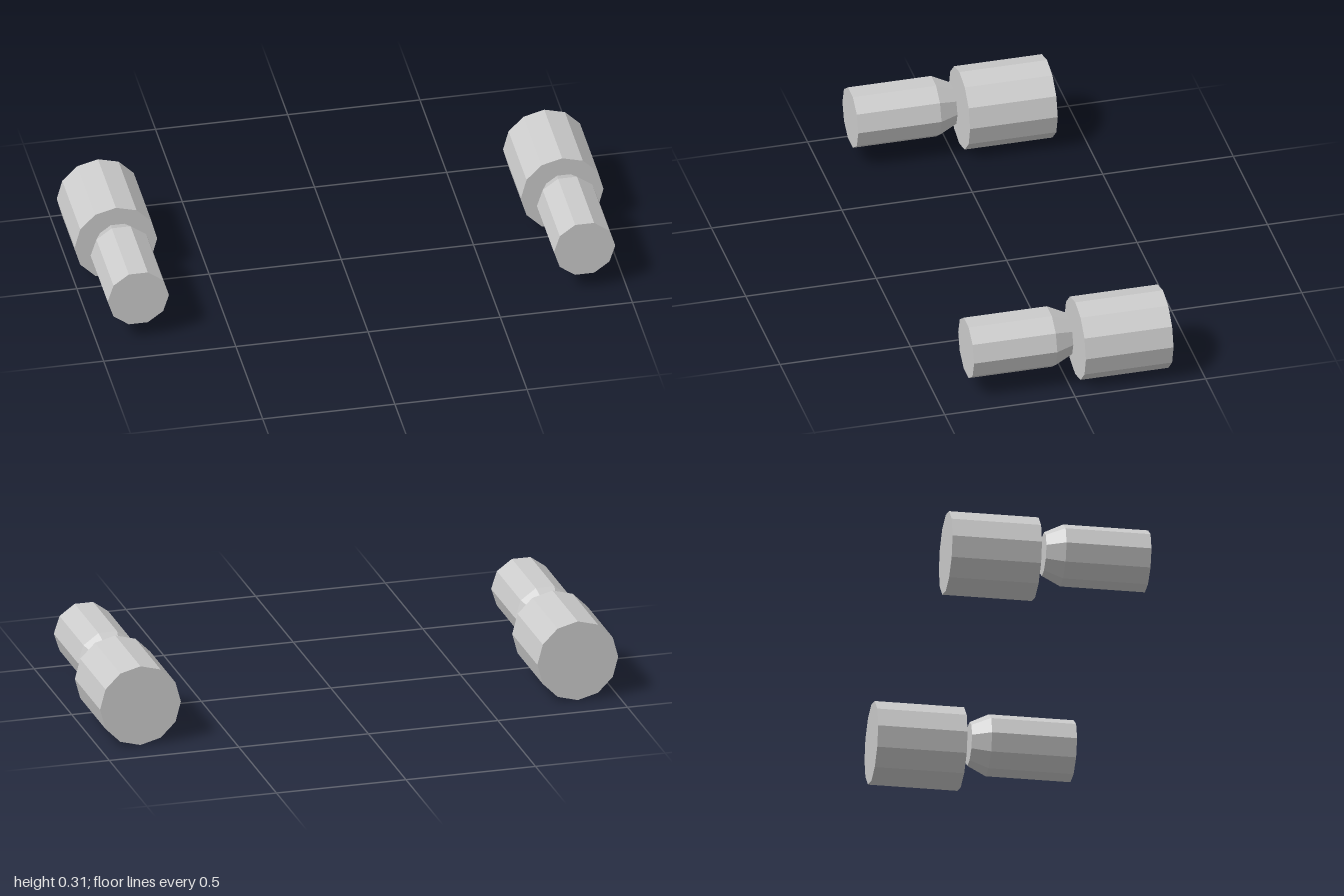
import * as THREE from 'three';

const material = new THREE.MeshStandardMaterial({ color: 0xcccccc, flatShading: true });

// Faceted cylinder along z, from zBack to zFront, with a corner on the x axis
function barrel(name, rFront, rBack, zBack, zFront, y, sides) {
  const geometry = new THREE.CylinderGeometry(rFront, rBack, zFront - zBack, sides, 1, false, Math.PI / 2);
  geometry.rotateX(Math.PI / 2);
  const mesh = new THREE.Mesh(geometry, material);
  mesh.name = name;
  mesh.position.set(0, y, (zFront + zBack) / 2);
  return mesh;
}

// One unit: wide rear drum, slim front barrel and its tapered end
function createUnit(name, x) {
  const unit = new THREE.Group();
  unit.name = name;
  unit.position.x = x;
  unit.add(
    barrel('rearDrum', 0.156, 0.156, -0.377, -0.041, 0.156, 12),
    barrel('frontBarrel', 0.116, 0.116, 0.058, 0.377, 0.179, 10),
    barrel('barrelTaper', 0.116, 0.082, -0.012, 0.058, 0.179, 10)
  );
  return unit;
}

export function createModel() {
  const model = new THREE.Group();
  model.name = 'twinBarrels';
  model.add(createUnit('leftUnit', 0.844), createUnit('rightUnit', -0.844));
  return model;
}
